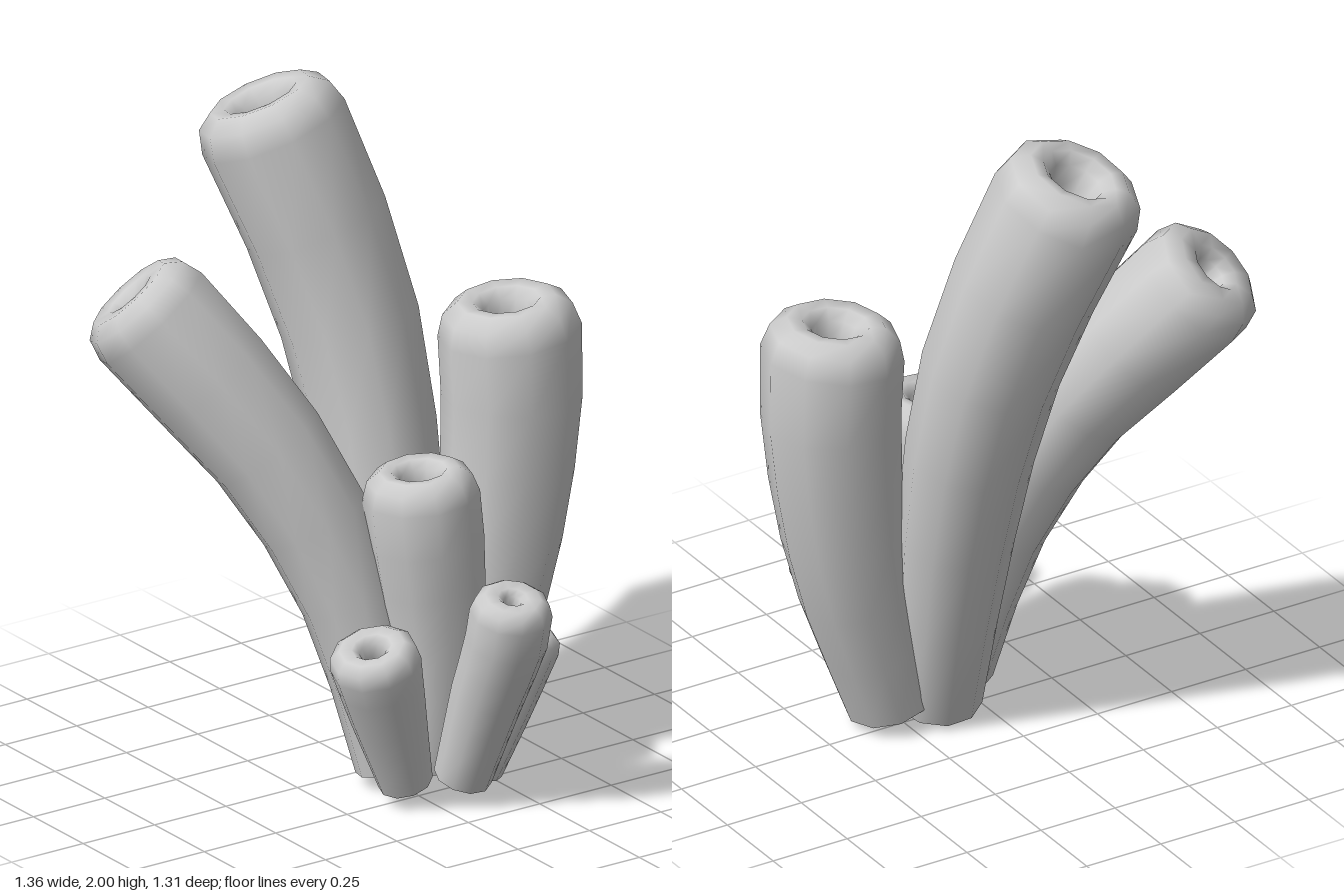
import * as THREE from 'three';

const SIDES = 10;
const stone = new THREE.MeshStandardMaterial({ color: 0xcccccc, side: THREE.DoubleSide });
stone.name = 'pale grey';

// Each tube: centre line from base to mouth as [x, y, z, radius], and hole size relative to the rim
const TUBES = [
  { name: 'tallTube', hole: 0.3, path: [[0.13, 0.05, 0.01, 0.13], [0.15, 0.55, -0.1, 0.165], [0.15, 1.0, -0.21, 0.19], [0.11, 1.4, -0.32, 0.21], [-0.05, 1.95, -0.48, 0.225]] },
  { name: 'leaningTube', hole: 0.2, path: [[0, 0.06, 0.12, 0.11], [-0.07, 0.55, 0.02, 0.15], [-0.22, 0.95, -0.12, 0.175], [-0.38, 1.22, -0.27, 0.195], [-0.55, 1.47, -0.42, 0.2]] },
  { name: 'leftTube', hole: 0.27, path: [[0.27, 0.07, 0.045, 0.135], [0.41, 0.55, 0.04, 0.175], [0.465, 0.95, 0.04, 0.2], [0.475, 1.2, 0.035, 0.208], [0.46, 1.37, 0.03, 0.21]] },
  { name: 'middleTube', hole: 0.28, path: [[0.1, 0.06, 0.16, 0.12], [0.115, 0.45, 0.16, 0.15], [0.09, 0.75, 0.155, 0.17], [0.07, 0.97, 0.15, 0.17]] },
  { name: 'frontTube', hole: 0.16, path: [[0.085, 0.08, 0.35, 0.085], [0.11, 0.38, 0.45, 0.11], [0.12, 0.55, 0.52, 0.12], [0.115, 0.7, 0.56, 0.12]] },
  { name: 'rightSmallTube', hole: 0.22, path: [[-0.06, 0.07, 0.27, 0.08], [-0.14, 0.32, 0.29, 0.115], [-0.21, 0.54, 0.315, 0.14]] },
  { name: 'leftSmallTube', hole: 0.18, path: [[0.215, 0.035, 0.22, 0.085], [0.28, 0.25, 0.265, 0.1], [0.345, 0.47, 0.305, 0.115]] },
];

function tubeGeometry({ path, hole }) {
  const curve = new THREE.CatmullRomCurve3(path.map(([x, y, z]) => new THREE.Vector3(x, y, z)));
  const length = curve.getLength();
  const rim = path[path.length - 1][3];

  // Radius of the outer wall, blended between the path points
  const wall = (u) => {
    const t = curve.getUtoTmapping(u) * (path.length - 1);
    const i = Math.min(Math.floor(t), path.length - 2);
    return THREE.MathUtils.lerp(path[i][3], path[i + 1][3], t - i);
  };

  // Outer wall, then the rounded lip, then the throat going back down
  const rings = [];
  const shoulder = 1 - (0.48 * rim) / length;
  for (let k = 0; k <= 6; k++) {
    const u = (shoulder * k) / 6;
    rings.push([u, wall(u)]);
  }
  const lip = [[0.17, 0.9], [0.01, 0.68], [0.03, hole + 0.2], [0.16, hole + 0.06], [0.45, hole], [1.2, hole]];
  for (const [depth, r] of lip) rings.push([1 - (depth * rim) / length, r * rim]);

  const up = new THREE.Vector3(0, 1, 0);
  const q = new THREE.Quaternion();
  const positions = [];
  const index = [];
  rings.forEach(([u, r], i) => {
    const centre = curve.getPointAt(u);
    q.setFromUnitVectors(up, curve.getTangentAt(u));
    for (let j = 0; j < SIDES; j++) {
      const a = (j / SIDES) * Math.PI * 2;
      const p = new THREE.Vector3(Math.cos(a) * r, 0, Math.sin(a) * r).applyQuaternion(q).add(centre);
      positions.push(p.x, p.y, p.z);
      if (i < rings.length - 1) {
        const a0 = i * SIDES + j;
        const b0 = i * SIDES + ((j + 1) % SIDES);
        index.push(a0, a0 + SIDES, b0, b0, a0 + SIDES, b0 + SIDES);
      }
    }
  });

  const geometry = new THREE.BufferGeometry();
  geometry.setAttribute('position', new THREE.Float32BufferAttribute(positions, 3));
  geometry.setIndex(index);
  geometry.computeVertexNormals();
  return geometry;
}

export function createModel() {
  const group = new THREE.Group();
  group.name = 'tubeCluster';
  for (const tube of TUBES) {
    const mesh = new THREE.Mesh(tubeGeometry(tube), stone);
    mesh.name = tube.name;
    group.add(mesh);
  }
  return group;
}
